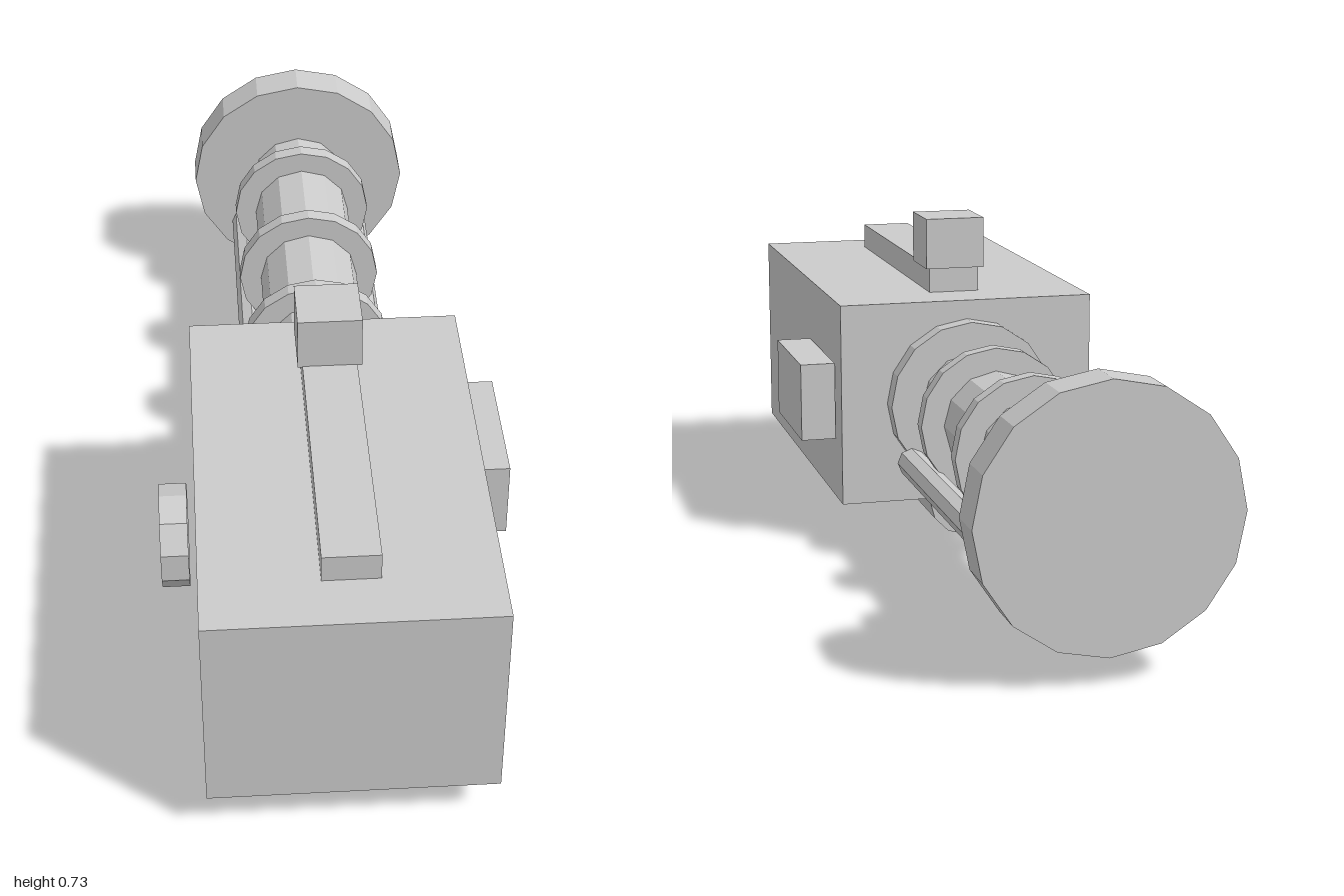
import * as THREE from 'three';

const material = new THREE.MeshStandardMaterial({ color: 0xcccccc, flatShading: true });
const CX = -0.003; // centre line of the body
const AXIS_Y = 0.325; // height of the barrel axis

export function createModel() {
  const group = new THREE.Group();

  const add = (name, geometry, x, y, z) => {
    const mesh = new THREE.Mesh(geometry, material);
    mesh.name = name;
    mesh.position.set(x, y, z);
    group.add(mesh);
  };

  // Box given by its lower and upper limits on each axis
  const box = (name, [x0, x1], [y0, y1], [z0, z1]) =>
    add(name, new THREE.BoxGeometry(x1 - x0, y1 - y0, z1 - z0),
      (x0 + x1) / 2, (y0 + y1) / 2, (z0 + z1) / 2);

  // Faceted cylinder lying along z, with a corner at top and bottom
  const drum = (name, radius, sides, x, y, z0, z1) =>
    add(name, new THREE.CylinderGeometry(radius, radius, z1 - z0, sides).rotateX(Math.PI / 2),
      x, y, (z0 + z1) / 2);

  // Main housing, top rail with its block, and side box
  box('housing', [-0.297, 0.291], [0.094, 0.556], [0.046, 1]);
  box('topRail', [-0.061, 0.055], [0.55, 0.615], [0.166, 0.88]);
  box('topBlock', [-0.071, 0.065], [0.613, 0.729], [0.153, 0.286]);
  box('sideBox', [0.294, 0.373], [0.236, 0.413], [0.105, 0.408]);

  // Round knob beside the right wall, just clear of it
  add('sideKnob',
    new THREE.CylinderGeometry(0.109, 0.109, 0.058, 10).rotateY(Math.PI / 2).rotateZ(Math.PI / 2),
    -0.344, AXIS_Y, 0.473);

  // Half-sunk cylinder under the housing
  drum('underCylinder', 0.088, 12, CX, 0.088, 0.05, 0.41);

  // Barrel with mounting collar, rings and end disc
  drum('barrel', 0.117, 12, CX, AXIS_Y, -0.92, 0.05);
  drum('collar', 0.188, 16, CX, AXIS_Y, 0, 0.05);
  for (const z of [-0.183, -0.476, -0.768]) {
    drum('barrelRing', 0.168, 16, CX, AXIS_Y, z - 0.018, z + 0.018);
  }
  drum('endDisc', 0.268, 16, CX, AXIS_Y, -1, -0.907);

  // Pair of rods below the barrel
  for (const side of [-1, 1]) {
    drum('rod', 0.033, 8, CX + side * 0.142, 0.195, -0.92, 0.002);
  }

  return group;
}
